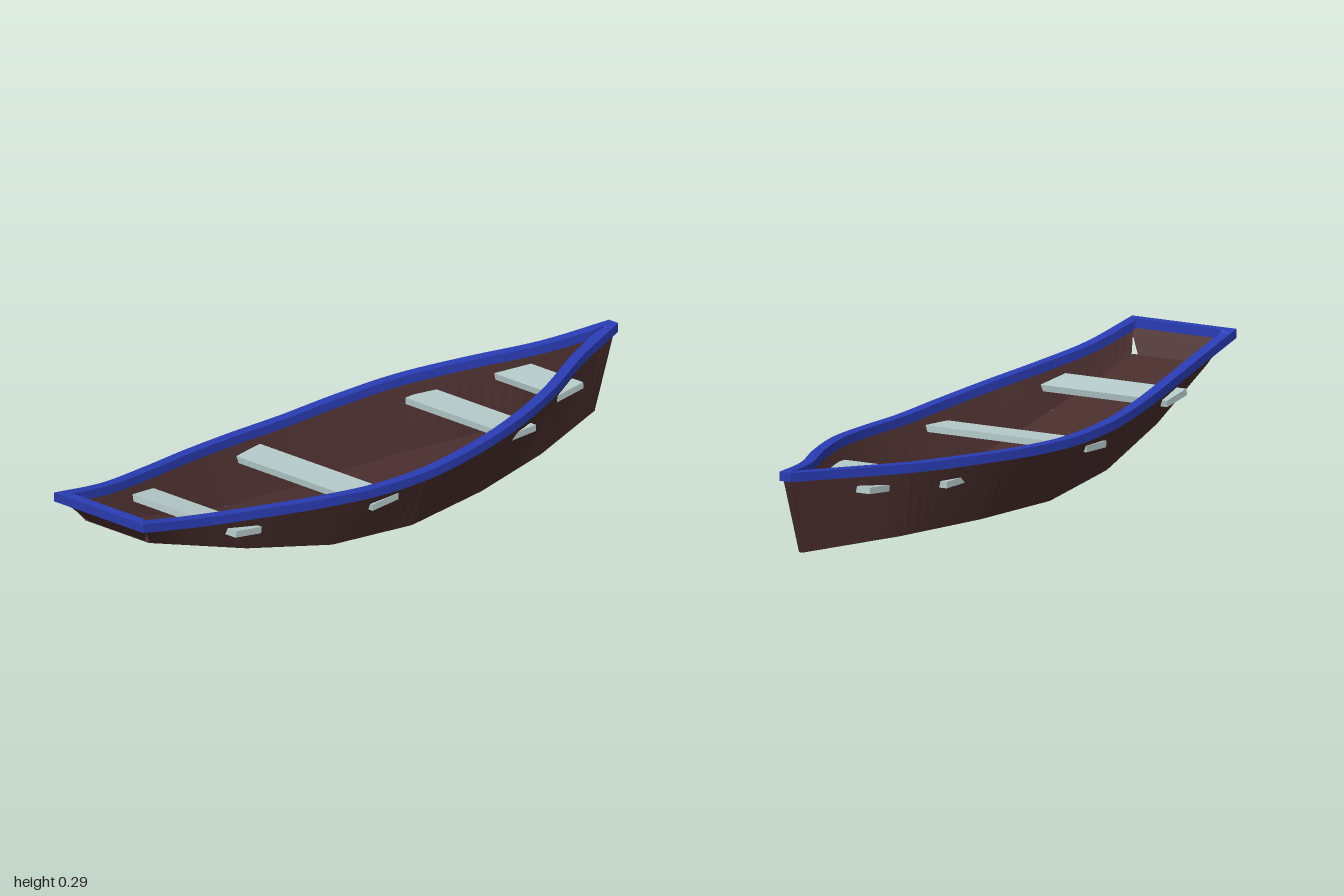
import * as THREE from 'three';

const paint = (name, color, side = THREE.FrontSide) => {
  const m = new THREE.MeshStandardMaterial({ color, side, flatShading: true });
  m.name = name;
  return m;
};

// Surface through rows of [x, y, z] points, optionally closed along either direction
function skin(rows, closeRows = false, closeCols = false) {
  const n = rows.length, m = rows[0].length, index = [];
  for (let i = 0; i < (closeRows ? n : n - 1); i++) {
    for (let j = 0; j < (closeCols ? m : m - 1); j++) {
      const i2 = (i + 1) % n, j2 = (j + 1) % m;
      const a = i * m + j, b = i * m + j2, c = i2 * m + j2, d = i2 * m + j;
      index.push(a, d, c, a, c, b);
    }
  }
  const g = new THREE.BufferGeometry();
  g.setAttribute('position', new THREE.Float32BufferAttribute(rows.flat(2), 3));
  g.setIndex(index);
  g.computeVertexNormals();
  return g;
}

const mirror = ([x, y, z]) => [-x, y, z];

export function createModel() {
  const boat = new THREE.Group();
  boat.name = 'rowingBoat';
  const wood = paint('dark brown hull', 0x4a2e2e, THREE.DoubleSide);
  const blue = paint('blue gunwale', 0x2a3cb4);
  const pale = paint('pale grey seats', 0xb6caca);
  const add = (name, geometry, material) => {
    const mesh = new THREE.Mesh(geometry, material);
    mesh.name = name;
    boat.add(mesh);
    return mesh;
  };

  // Outer top edge of the gunwale, bow to stern: half width, height, z
  const edge = new THREE.CatmullRomCurve3([
    [0.017, 0.232, -1], [0.077, 0.215, -0.8], [0.163, 0.204, -0.6], [0.228, 0.197, -0.4],
    [0.264, 0.187, -0.2], [0.279, 0.181, 0], [0.278, 0.189, 0.2], [0.254, 0.206, 0.4],
    [0.217, 0.226, 0.6], [0.182, 0.25, 0.8], [0.164, 0.287, 1],
  ].map(p => new THREE.Vector3(...p)), false, 'catmullrom', 0.5);

  // Chine, where side meets floor, with straight runs between frames
  const chine = [
    [0.006, 0, -0.92], [0.112, 0, -0.6], [0.176, 0, -0.3], [0.205, 0, 0],
    [0.196, 0.03, 0.3], [0.166, 0.1, 0.6], [0.118, 0.2, 0.93],
  ];
  const chineAt = z => {
    let i = 0;
    while (i < chine.length - 2 && z > chine[i + 1][2]) i++;
    const [a, b] = [chine[i], chine[i + 1]];
    const t = (z - a[2]) / (b[2] - a[2]);
    return a.map((v, k) => v + (b[k] - v) * t);
  };

  const steps = 60, railRows = [], sideRows = [];
  for (let i = 0; i <= steps; i++) {
    const p = edge.getPoint(i / steps), d = edge.getTangent(i / steps);
    const len = Math.hypot(d.x, d.z);
    let ix = Math.max(0.003, p.x - 0.03 * d.z / len);
    let iz = p.z + 0.03 * d.x / len;
    if (i === 0) iz = -0.96;
    if (i === steps) { ix = 0.135; iz = 0.97; }
    // Square gunwale section: outer top, outer bottom, inner bottom, inner top
    railRows.push([[p.x, p.y, p.z], [p.x, p.y - 0.025, p.z], [ix, p.y - 0.025, iz], [ix, p.y, iz]]);
    const zb = THREE.MathUtils.clamp(p.z * 0.925, -0.92, 0.93);
    sideRows.push([
      [Math.max(0.006, (p.x + ix) / 2), p.y - 0.014, THREE.MathUtils.clamp(p.z, -0.995, 0.985)],
      chineAt(zb),
    ]);
  }

  // Gunwale runs round both sides and across the stern
  const otherRail = railRows.map(r => r.map(mirror)).reverse();
  add('gunwale', skin([...railRows, ...otherRail], true, true), blue);

  // Hull: two sides, floor, stem and raked transom
  add('leftSide', skin(sideRows), wood);
  add('rightSide', skin(sideRows.map(r => r.map(mirror).reverse())), wood);
  add('floor', skin(chine.map(p => [p, mirror(p)])), wood);
  add('stem', skin([sideRows[0], sideRows[0].map(mirror)]), wood);
  add('transom', skin([
    [[-0.15, 0.27, 0.985], [0.15, 0.27, 0.985]],
    [[-0.142, 0.246, 0.966], [0.142, 0.246, 0.966]],
    [[-0.1, 0.2, 0.927], [0.1, 0.2, 0.927]],
  ]), wood);

  // Seats, whose ends poke through the sides: z, height, half length, tilt
  [
    [-0.71, 0.147, 0.116, 0.1], [-0.445, 0.129, 0.192, 0],
    [0.155, 0.126, 0.254, 0.04], [0.635, 0.168, 0.206, -0.16],
  ].forEach(([z, y, half, tilt], i) => {
    const seat = add('seat' + (i + 1), new THREE.BoxGeometry(half * 2, 0.018, 0.1), pale);
    seat.position.set(0, y, z);
    seat.rotation.x = tilt;
  });

  return boat;
}
